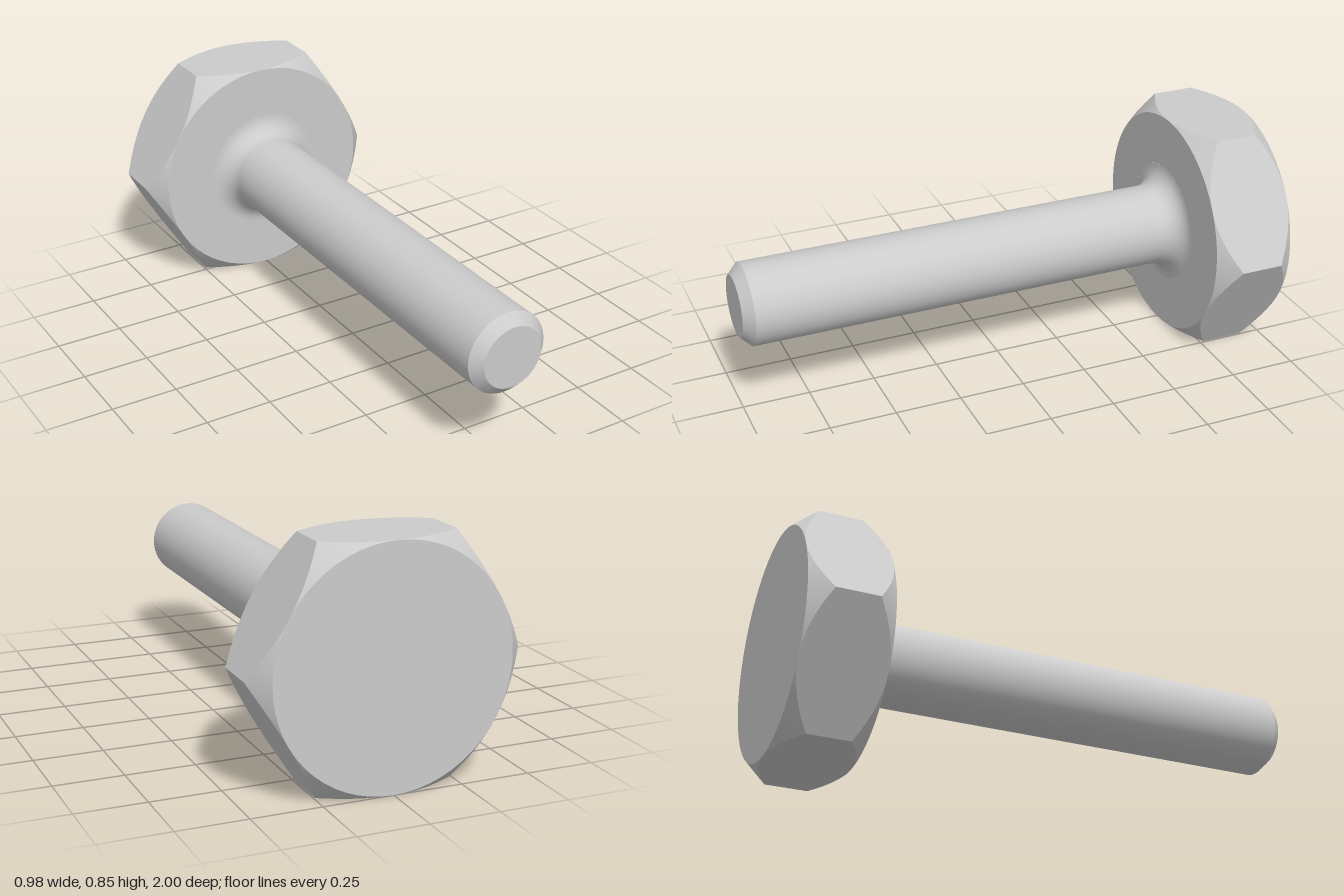
import * as THREE from 'three';
import { toCreasedNormals } from 'three/addons/utils/BufferGeometryUtils.js';

const APOTHEM = 0.424, CORNER = APOTHEM / Math.cos(Math.PI / 6);
const BACK = -1, FRONT = -0.69, CHAMFER = 0.076; // head faces and corner chamfer depth
const SHANK = 0.152, FILLET = 0.076, TIP = 0.038;
const CREASE = 0.5;

// Hexagonal prism whose corners are cut by a cone on both faces
function headGeometry() {
  const segments = 60;
  const hexRadius = (a) => {
    const sector = Math.PI / 3;
    return APOTHEM / Math.cos((a % sector) - sector / 2);
  };
  const drop = (r) => CHAMFER * Math.max(0, r - APOTHEM) / (CORNER - APOTHEM);
  // rings from the back centre, over the rim, to the foot of the fillet
  const rings = [
    () => [0, BACK],
    () => [APOTHEM, BACK],
    (r) => [r, BACK + drop(r)],
    (r) => [r, FRONT - drop(r)],
    () => [APOTHEM, FRONT],
    () => [SHANK + FILLET, FRONT],
  ];
  const point = (i, j) => {
    const a = ((j % segments) / segments) * Math.PI * 2;
    const [r, z] = rings[i](hexRadius(a));
    return new THREE.Vector3(r * Math.cos(a), r * Math.sin(a), z);
  };
  const positions = [];
  const addTriangle = (...t) => {
    if (new THREE.Triangle(...t).getArea() < 1e-8) return;
    t.forEach((p) => positions.push(p.x, p.y, p.z));
  };
  for (let i = 0; i < rings.length - 1; i++) {
    for (let j = 0; j < segments; j++) {
      const a = point(i, j), b = point(i, j + 1);
      const c = point(i + 1, j + 1), d = point(i + 1, j);
      addTriangle(a, b, c);
      addTriangle(a, c, d);
    }
  }
  const geometry = new THREE.BufferGeometry();
  geometry.setAttribute('position', new THREE.Float32BufferAttribute(positions, 3));
  return toCreasedNormals(geometry, CREASE);
}

// Turned shank: fillet at the head, straight rod, chamfered tip
function shankGeometry() {
  const profile = [];
  for (let i = 0; i <= 10; i++) {
    const a = (i / 10) * Math.PI / 2;
    profile.push(new THREE.Vector2(
      SHANK + FILLET * (1 - Math.sin(a)),
      FRONT + FILLET * (1 - Math.cos(a)),
    ));
  }
  profile.push(
    new THREE.Vector2(SHANK, 1 - TIP),
    new THREE.Vector2(SHANK - TIP, 1),
    new THREE.Vector2(0, 1),
  );
  const geometry = new THREE.LatheGeometry(profile, 48);
  geometry.rotateX(Math.PI / 2);
  return toCreasedNormals(geometry, CREASE);
}

export function createModel() {
  const model = new THREE.Group();
  model.name = 'hexBolt';
  const material = new THREE.MeshStandardMaterial({ color: 0xcccccc });
  const parts = { hexHead: headGeometry(), shank: shankGeometry() };
  for (const [name, geometry] of Object.entries(parts)) {
    const mesh = new THREE.Mesh(geometry, material);
    mesh.name = name;
    mesh.position.y = APOTHEM;
    model.add(mesh);
  }
  return model;
}
